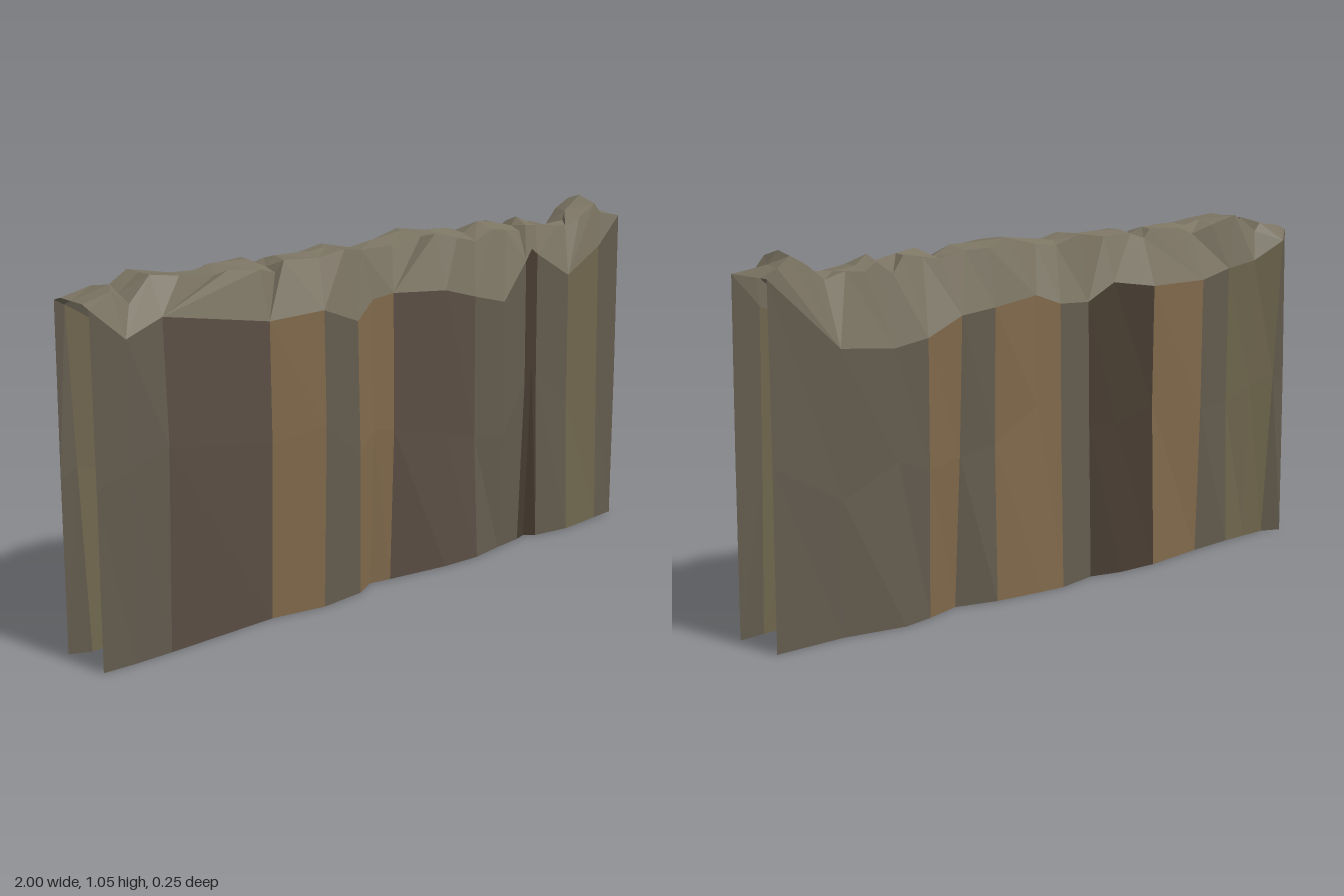
import * as THREE from 'three';

// Each line runs along the wall from x = -1 to x = 1 as [x, y, z] points.
const v = ([x, y, z]) => new THREE.Vector3(x, y, z);

// Front columns: x, foot z, waist y, waist z, shoulder y, shoulder z
const FRONT = [
  [-1, .085, .51, .085, .99, .08], [-.9, .09, .55, .1, .9, .095], [-.78, .09, .59, .105, .94, .09],
  [-.42, .08, .52, .09, .87, .085], [-.25, .11, .55, .122, .88, .115], [-.1, .095, .42, .095, .82, .085],
  [-.03, .057, .48, .075, .87, .07], [.04, .07, .47, .085, .88, .08], [.24, .1, .42, .09, .86, .09],
  [.37, .105, .38, .085, .82, .08], [.48, .085, .37, .1, .79, .095], [.58, .072, .52, .09, .9, .085],
  [.62, .06, .57, .08, .93, .07], [.65, .085, .54, .07, .91, .065], [.77, .105, .42, .09, .83, .085],
  [.92, .092, .44, .08, .9, .072], [1, .085, .5, .085, .99, .08],
];
// Back columns, same layout
const BACK = [
  [-1, -.085, .5, -.085, .99, -.08], [-.94, -.058, .52, -.095, .96, -.125], [-.85, -.06, .5, -.075, .9, -.085],
  [-.76, -.065, .45, -.055, .88, -.06], [-.6, -.08, .46, -.095, .86, -.1], [-.38, -.112, .5, -.1, .86, -.105],
  [-.24, -.11, .45, -.085, .88, -.075], [-.14, -.085, .47, -.075, .83, -.07], [0, -.115, .42, -.105, .84, -.1],
  [.08, -.11, .55, -.09, .87, -.085], [.24, -.095, .46, -.085, .85, -.09], [.37, -.06, .44, -.085, .84, -.1],
  [.49, -.095, .42, -.1, .79, -.1], [.59, -.115, .46, -.09, .77, -.08], [.78, -.082, .38, -.09, .79, -.092],
  [1, -.085, .5, -.085, .99, -.08],
];
// Skyline of the ridge: x, y
const RIDGE = [
  [-1, 1], [-.9, 1.03], [-.86, 1], [-.78, 1.05], [-.7, 1.04], [-.6, 1.03], [-.54, 1.04], [-.42, 1.03],
  [-.37, 1.01], [-.33, 1.035], [-.22, 1.03], [-.13, 1.03], [-.05, 1.02], [.05, 1.03], [.15, 1.04], [.24, 1.035],
  [.32, 1.025], [.4, 1.005], [.45, 1.03], [.52, 1.02], [.58, 1], [.61, 1.025], [.66, .995], [.74, .99],
  [.8, .99], [.84, 1.02], [.9, 1.055], [.95, 1.02], [1, .99],
];

function seeded(seed) {
  return () => (seed = (seed * 16807) % 2147483647) / 2147483647;
}

// Ridge row at depth z, roughened everywhere but at its ends
function ridgeRow(z, drop, rand) {
  return RIDGE.map(([x, y], i) => {
    const end = i === 0 || i === RIDGE.length - 1;
    const wob = () => (end ? 0 : rand() - 0.5);
    return v([x + wob() * 0.03, y - (end ? 0 : drop * rand()), z + wob() * 0.03]);
  });
}

// Joins two lines with triangles, always stepping along the one that lags in x
function stitch(a, b, emit) {
  let i = 0, j = 0;
  while (i < a.length - 1 || j < b.length - 1) {
    const stepA = j === b.length - 1 || (i < a.length - 1 && a[i + 1].x <= b[j + 1].x);
    if (stepA) emit(a[i], a[++i], b[j]);
    else emit(a[i], b[j + 1], b[j++]);
  }
}

const TINTS = {
  brown: 0x5a4e44, grey: 0x635b4e, tan: 0x80694b, olive: 0x6f664d, dark: 0x473c31, pale: 0x7b7463,
};
// Colour bands along each face: right-hand limit in x, tint
const FRONT_BANDS = [[-.78, 'grey'], [-.42, 'brown'], [-.25, 'tan'], [-.1, 'grey'], [.04, 'tan'],
  [.37, 'brown'], [.58, 'grey'], [.65, 'dark'], [.77, 'grey'], [.93, 'olive'], [2, 'grey']];
const BACK_BANDS = [[-.94, 'grey'], [-.76, 'olive'], [-.6, 'grey'], [-.38, 'tan'], [-.14, 'dark'],
  [0, 'grey'], [.24, 'tan'], [.37, 'grey'], [.5, 'tan'], [2, 'grey']];
const RIDGE_BANDS = [[2, 'pale']];

// Builds one rock face from a stack of lines, as one mesh per tint
function rockFace(name, lines, bands) {
  const face = new THREE.Group();
  face.name = name;
  const buckets = {};
  const emit = (p, q, r) => {
    const x = (p.x + q.x + r.x) / 3;
    const tint = bands.find(([limit]) => x < limit)[1];
    (buckets[tint] ??= []).push(p, q, r);
  };
  for (let k = 0; k < lines.length - 1; k++) stitch(lines[k], lines[k + 1], emit);
  for (const [tint, points] of Object.entries(buckets)) {
    const geometry = new THREE.BufferGeometry().setFromPoints(points);
    geometry.computeVertexNormals();
    const mesh = new THREE.Mesh(geometry, new THREE.MeshStandardMaterial({
      color: TINTS[tint], flatShading: true, side: THREE.DoubleSide,
    }));
    mesh.name = `${name} ${tint} rock`;
    face.add(mesh);
  }
  return face;
}

export function createModel() {
  const rand = seeded(71);
  const foot = (c) => c.map(([x, z]) => v([x, 0, z]));
  const waist = (c) => c.map(([x, , y, z]) => v([x, y, z]));
  const shoulder = (c) => c.map(([x, , , , y, z]) => v([x, y, z]));
  const frontTop = shoulder(FRONT), backTop = shoulder(BACK);
  const ridgeFront = ridgeRow(0.052, 0.025, rand);
  const ridgeMid = ridgeRow(0, 0.008, rand);
  const ridgeBack = ridgeRow(-0.05, 0.035, rand);

  const wall = new THREE.Group();
  wall.name = 'rockWall';
  wall.add(
    rockFace('frontCliff', [foot(FRONT), waist(FRONT), frontTop], FRONT_BANDS),
    rockFace('ridge', [frontTop, ridgeFront, ridgeMid, ridgeBack, backTop], RIDGE_BANDS),
    rockFace('backCliff', [backTop, waist(BACK), foot(BACK)], BACK_BANDS),
  );
  return wall;
}
